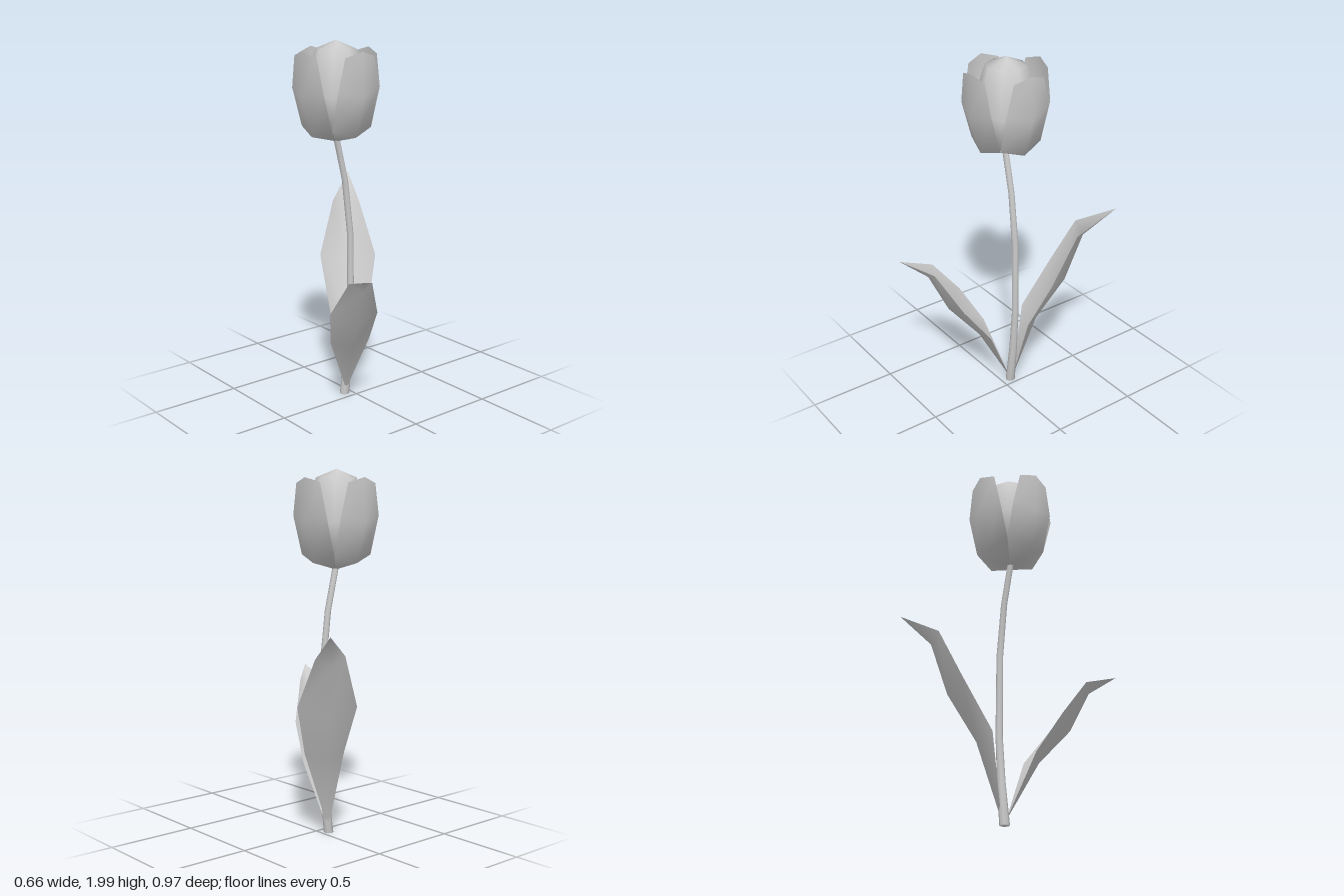
import * as THREE from 'three';
import { mergeVertices } from 'three/addons/utils/BufferGeometryUtils.js';

const solid = new THREE.MeshStandardMaterial({ color: 0xcccccc });
const thin = new THREE.MeshStandardMaterial({ color: 0xcccccc, side: THREE.DoubleSide });

// Skin a smooth surface over rows of [x, y, z] points, rows running base to tip
function skin(rows) {
  const n = rows[0].length;
  const index = [];
  for (let r = 0; r < rows.length - 1; r++) {
    for (let i = 0; i < n - 1; i++) {
      const a = r * n + i, b = a + 1, c = a + n, d = c + 1;
      index.push(a, b, d, a, d, c);
    }
  }
  const g = new THREE.BufferGeometry();
  g.setAttribute('position', new THREE.Float32BufferAttribute(rows.flat(2), 3));
  g.setIndex(index);
  const merged = mergeVertices(g, 1e-4);
  merged.computeVertexNormals();
  return merged;
}

function part(name, geometry, material) {
  const mesh = new THREE.Mesh(geometry, material);
  mesh.name = name;
  return mesh;
}

// A horizontal ring, wound so that the skin faces outwards
function ring(x, y, z, radius, sides = 8) {
  return Array.from({ length: sides + 1 }, (_, i) => {
    const a = (i / sides) * Math.PI * 2;
    return [x + Math.sin(a) * radius, y, z + Math.cos(a) * radius];
  });
}

export function createModel() {
  const model = new THREE.Group();
  model.name = 'flower';

  // Curved stem, closed at the foot: x, y, radius
  const stem = [
    [-0.042, 0.015, 0], [-0.042, 0.015, 0.027], [-0.015, 0.25, 0.022], [0.003, 0.5, 0.019],
    [0, 0.95, 0.018], [-0.035, 1.25, 0.017], [-0.09, 1.48, 0.017],
  ];
  model.add(part('stem', skin(stem.map(([x, y, r]) => ring(x, y, -0.055, r))), solid));

  // Flower head: eight-sided bud inside four cupped petals
  const head = new THREE.Group();
  head.name = 'flowerHead';
  head.position.set(-0.09, 0, -0.058);
  model.add(head);

  const budProfile = [[0, 1.475], [0.125, 1.53], [0.183, 1.72], [0.108, 1.955], [0, 2]]
    .map(([r, y]) => new THREE.Vector2(r, y));
  head.add(part('bud', new THREE.LatheGeometry(budProfile, 8), solid));

  // Petal rows: half width, edge height, edge radius, centre height, centre radius
  const petalRows = [
    [0, 1.467, 0, 1.467, 0],
    [0.13, 1.548, 0.13, 1.508, 0.163],
    [0.133, 1.755, 0.187, 1.72, 0.229],
    [0.095, 1.925, 0.197, 1.953, 0.22],
  ].map(([w, ey, er, cy, cr]) => [[-w, ey, er], [0, cy, cr], [w, ey, er]]);
  const petalGeometry = skin(petalRows);
  for (let i = 0; i < 4; i++) {
    const petal = part('petal', petalGeometry, thin);
    petal.rotation.y = (i * Math.PI) / 2;
    head.add(petal);
  }

  // Leaves: each row is one edge, the sunken midrib, the other edge
  const point = (p) => [p, p, p];
  model.add(part('shortLeaf', skin([
    point([-0.04, 0.04, -0.045]),
    [[-0.2, 0.38, 0.022], [-0.12, 0.355, 0.11], [0, 0.385, 0.11]],
    [[-0.285, 0.59, 0.13], [-0.2, 0.545, 0.262], [-0.06, 0.585, 0.25]],
    [[-0.293, 0.805, 0.3], [-0.25, 0.765, 0.357], [-0.185, 0.802, 0.355]],
    point([-0.333, 0.867, 0.485]),
  ]), thin));
  model.add(part('tallLeaf', skin([
    point([-0.03, 0.04, -0.065]),
    [[0.128, 0.485, -0.052], [0.055, 0.455, -0.165], [-0.065, 0.485, -0.155]],
    [[0.24, 0.765, -0.125], [0.155, 0.72, -0.285], [-0.01, 0.765, -0.315]],
    [[0.255, 1.035, -0.283], [0.21, 1.005, -0.36], [0.128, 1.053, -0.372]],
    point([0.33, 1.178, -0.485]),
  ]), thin));

  return model;
}
